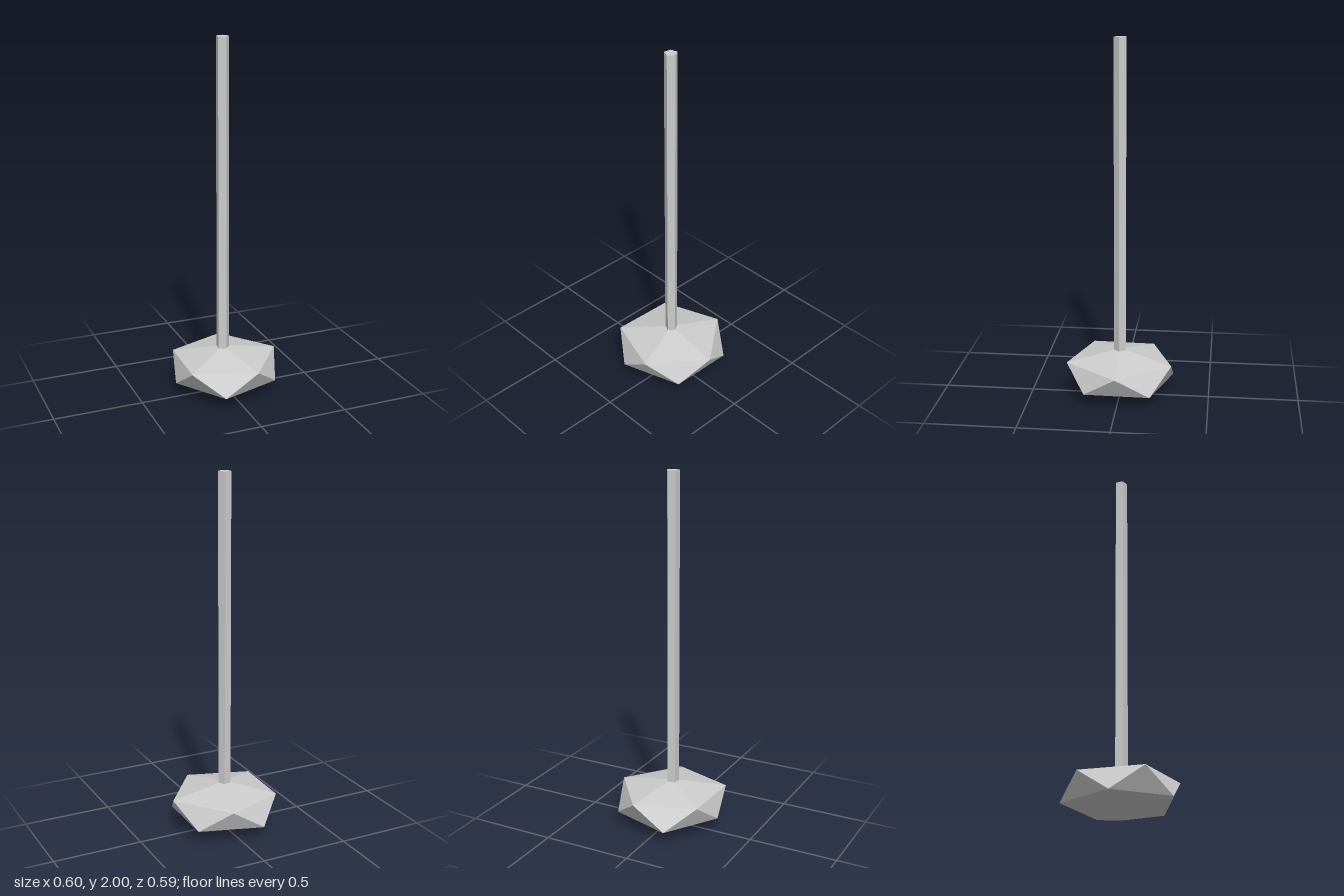
import * as THREE from 'three';

const CENTRE_X = -0.018;

// Squashed, slightly uneven twenty-sided stone: two rings of five and two tips
function stoneGeometry() {
  const ring = (y, points) => points.map(([x, z]) => [x, y, z]);
  const upper = ring(0.204, [[0.3, 0], [0.076, 0.292], [-0.267, 0.178], [-0.255, -0.173], [0.075, -0.293]]);
  const lower = ring(0.082, [[0.228, 0.178], [-0.113, 0.287], [-0.3, 0], [-0.113, -0.295], [0.234, -0.185]]);
  const top = [CENTRE_X, 0.264, 0];
  const bottom = [CENTRE_X, 0, 0];

  const corners = [];
  for (let i = 0; i < 5; i++) {
    const j = (i + 1) % 5;
    corners.push(
      top, upper[j], upper[i],
      upper[i], upper[j], lower[i],
      lower[i], upper[j], lower[j],
      bottom, lower[i], lower[j],
    );
  }
  const geometry = new THREE.BufferGeometry();
  geometry.setAttribute('position', new THREE.Float32BufferAttribute(corners.flat(), 3));
  geometry.computeVertexNormals();
  return geometry;
}

export function createModel() {
  const group = new THREE.Group();
  const grey = new THREE.MeshStandardMaterial({ color: 0xcccccc, flatShading: true });
  grey.name = 'light grey';

  const base = new THREE.Mesh(stoneGeometry(), grey);
  base.name = 'base';
  group.add(base);

  // Five-sided pole, its foot sunk into the base
  const foot = 0.23;
  const poleGeometry = new THREE.CylinderGeometry(0.036, 0.036, 2 - foot, 5, 1, false, THREE.MathUtils.degToRad(84));
  const pole = new THREE.Mesh(poleGeometry, grey);
  pole.name = 'pole';
  pole.position.set(CENTRE_X, (2 + foot) / 2, 0);
  group.add(pole);

  return group;
}
